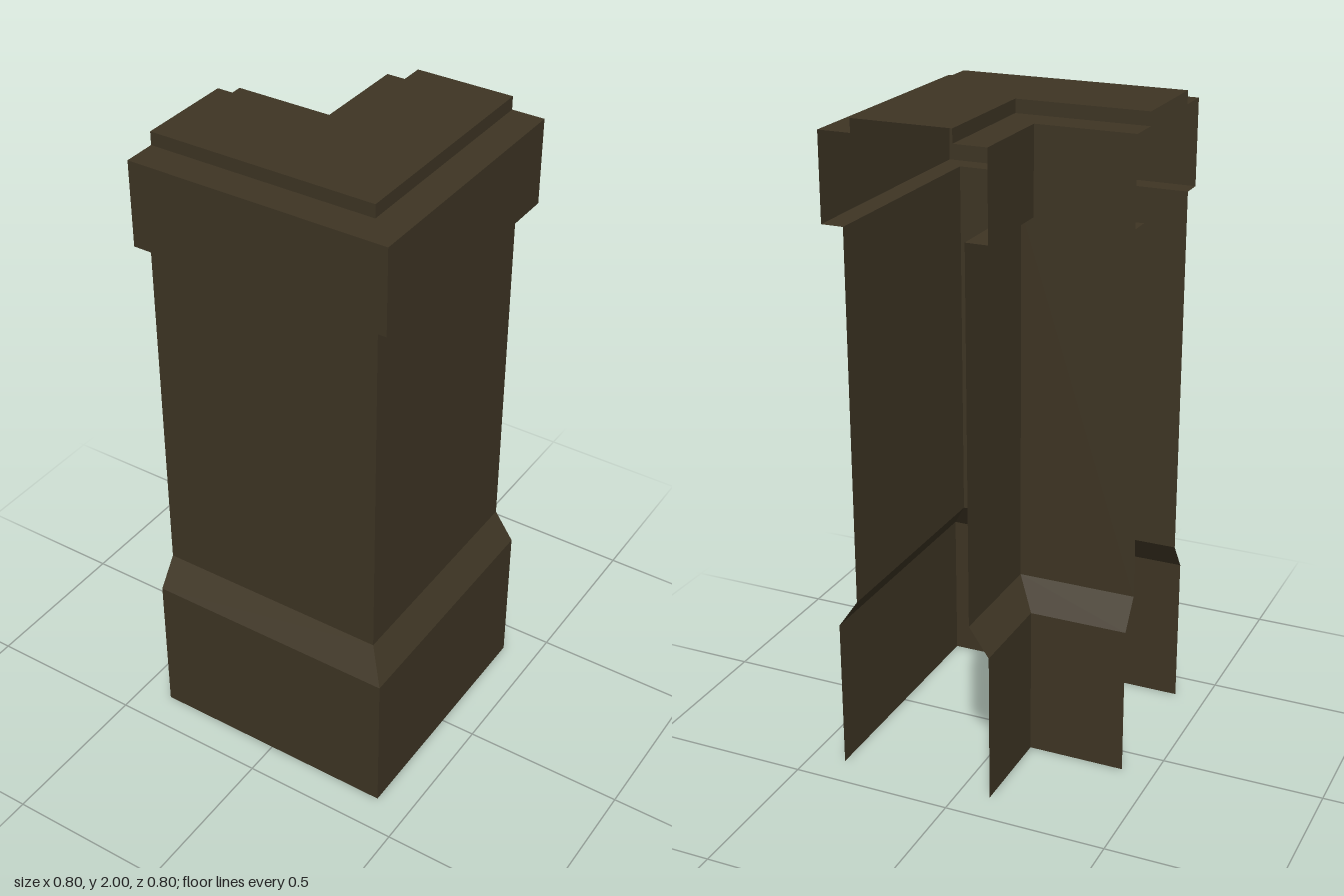
import * as THREE from 'three';

const CENTRE = 0.1475; // centre line of both wings
const END = -0.4;      // open ends of the wings

// Band from (half width h0, height y0) to (h1, y1), following one side of the L.
function wallBand(side, [h0, y0], [h1, y1]) {
  const a = CENTRE + side * h0, b = CENTRE + side * h1;
  const lower = [[END, y0, a], [a, y0, a], [a, y0, END]];
  const upper = [[END, y1, b], [b, y1, b], [b, y1, END]];
  const out = [];
  for (let i = 0; i < 2; i++) {
    const [p, q, r, s] = [lower[i], lower[i + 1], upper[i + 1], upper[i]];
    const tris = side > 0 ? [p, q, r, p, r, s] : [p, r, q, p, s, r];
    tris.forEach((v) => out.push(...v));
  }
  return out;
}

export function createModel() {
  const group = new THREE.Group();
  const stone = new THREE.MeshStandardMaterial({ color: 0x3e3524, side: THREE.DoubleSide });
  stone.name = 'dark brown stone';

  // Each part is a profile of [half width, height] points
  const parts = {
    base: [[0.244, 0], [0.244, 0.47], [0.182, 0.56]],
    wall: [[0.182, 0.56], [0.182, 1.7]],
    cornice: [[0.182, 1.7], [0.2495, 1.7], [0.2495, 1.96], [0.15, 1.96]],
    coping: [[0.15, 1.96], [0.15, 2]],
  };
  for (const [name, profile] of Object.entries(parts)) {
    const positions = [];
    for (const side of [1, -1])
      for (let i = 0; i + 1 < profile.length; i++)
        positions.push(...wallBand(side, profile[i], profile[i + 1]));
    const geometry = new THREE.BufferGeometry();
    geometry.setAttribute('position', new THREE.Float32BufferAttribute(positions, 3));
    geometry.computeVertexNormals();
    const mesh = new THREE.Mesh(geometry, stone);
    mesh.name = name;
    group.add(mesh);
  }

  // Flat L-shaped top
  const o = CENTRE + 0.15, n = CENTRE - 0.15;
  const outline = [[END, -o], [o, -o], [o, -END], [n, -END], [n, -n], [END, -n]];
  const shape = new THREE.Shape(outline.map(([x, y]) => new THREE.Vector2(x, y)));
  const top = new THREE.Mesh(new THREE.ShapeGeometry(shape).rotateX(-Math.PI / 2), stone);
  top.position.y = 2;
  top.name = 'copingTop';
  group.add(top);
  return group;
}
